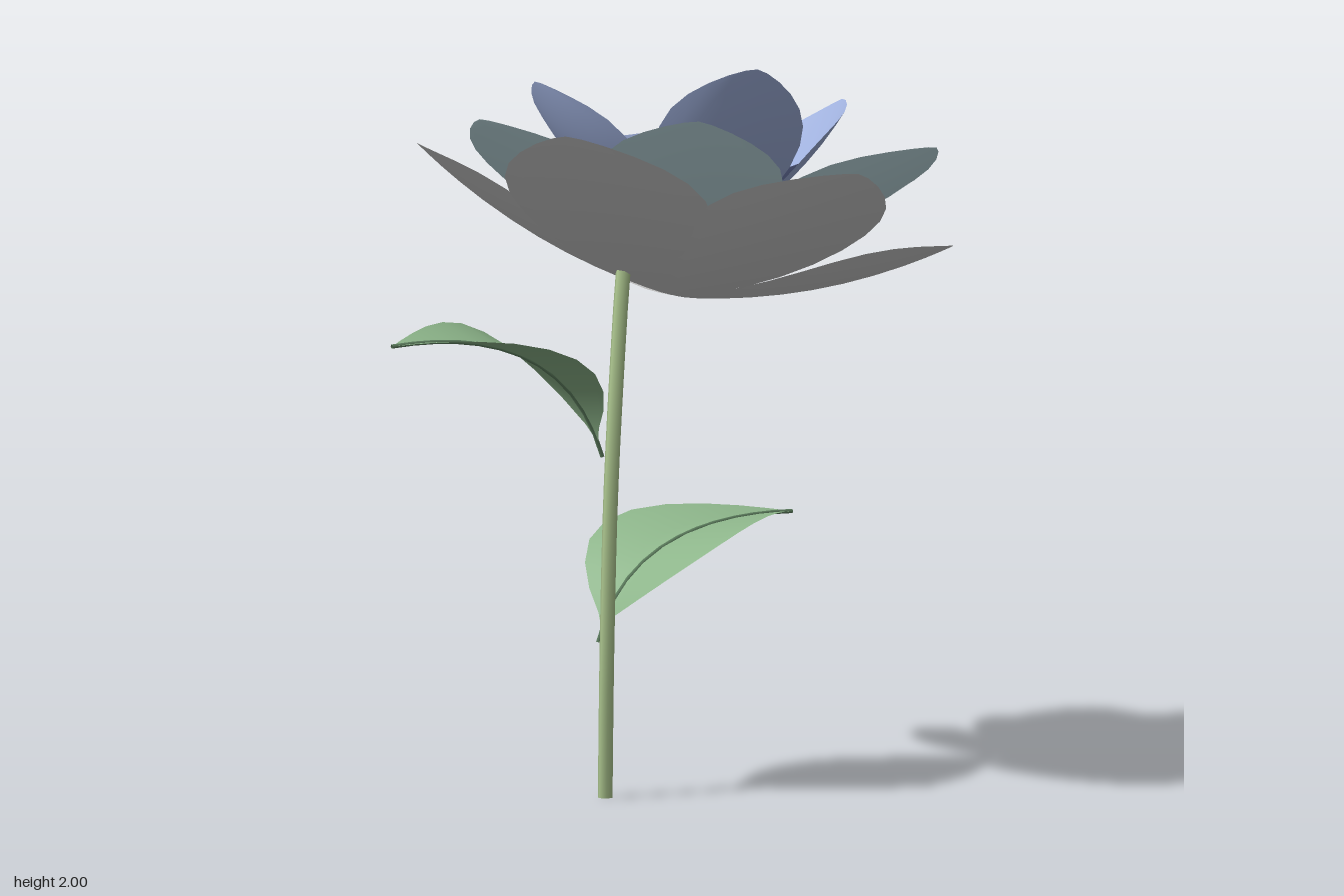
import * as THREE from 'three';

const V = (x, y, z) => new THREE.Vector3(x, y, z);
const AXIS = V(0, 0.95, -0.31).normalize();
const paint = (color, flatShading = false) =>
  new THREE.MeshStandardMaterial({ color, flatShading, side: THREE.DoubleSide });

// Blade on a unit grid: at(s, t) gives the point for s across (-1..1) and t along (0..1)
function blade(name, material, at) {
  const geo = new THREE.PlaneGeometry(2, 1, 10, 14);
  const pos = geo.attributes.position;
  for (let i = 0; i < pos.count; i++) {
    const t = (1 - Math.cos(Math.PI * (pos.getY(i) + 0.5))) / 2;
    const p = at(pos.getX(i), t);
    pos.setXYZ(i, p.x, p.y, p.z);
  }
  geo.computeVertexNormals();
  const mesh = new THREE.Mesh(geo, material);
  mesh.name = name;
  return mesh;
}

// Cupped petal from base to tip, widest past its middle
function petal(name, material, base, tip, width, cup, sag) {
  const along = tip.clone().sub(base);
  const side = along.clone().cross(AXIS).normalize();
  const up = side.clone().cross(along).normalize();
  return blade(name, material, (s, t) => {
    const half = (width / 2) * Math.pow(Math.max(0, Math.sin(Math.PI * Math.pow(t, 1.35))), 0.65);
    const k = half / (width / 2);
    return base.clone()
      .addScaledVector(along, t)
      .addScaledVector(side, s * half)
      .addScaledVector(up, cup * s * s * k * k - sag * 4 * t * (1 - t));
  });
}

// Ring of petals: each entry is [tip x, y, z, width]
function ring(name, color, base, cup, sag, entries) {
  const group = new THREE.Group();
  group.name = name + 's';
  const material = paint(color);
  for (const [x, y, z, w] of entries) {
    group.add(petal(name, material, base, V(x, y, z), w, cup, sag));
  }
  return group;
}

// Leaf with a bent midrib and wings lifted into a shallow V
function leaf(name, p0, p1, p2, halfWidth) {
  const group = new THREE.Group();
  group.name = name;
  const rib = new THREE.QuadraticBezierCurve3(p0, p1, p2);
  const dir = p2.clone().sub(p0);
  const side = V(-dir.z, 0, dir.x).normalize();
  group.add(blade(name + 'Blade', paint(0x8db58a), (s, t) => {
    const half = halfWidth * Math.sin(Math.PI * Math.pow(Math.max(0, (t - 0.08) / 0.92), 0.9));
    const p = rib.getPoint(t).addScaledVector(side, s * half);
    p.y += Math.abs(s) * half * 0.15;
    return p;
  }));
  const vein = new THREE.Mesh(new THREE.TubeGeometry(rib, 12, 0.006, 5), paint(0x5f8060));
  vein.name = name + 'Midrib';
  group.add(vein);
  return group;
}

export function createModel() {
  const model = new THREE.Group();
  model.name = 'flower';

  // Curved six-sided stem with closed ends
  const path = new THREE.CatmullRomCurve3([
    V(-0.085, 0, 0.35), V(-0.085, 0.4, 0.335), V(-0.09, 0.8, 0.29),
    V(-0.095, 1.1, 0.23), V(-0.1, 1.4, 0.155), V(-0.1, 1.5, 0.12),
  ]);
  const green = paint(0xa9c28c);
  const stem = new THREE.Mesh(new THREE.TubeGeometry(path, 16, 0.021, 6), green);
  stem.name = 'stem';
  model.add(stem);
  for (const t of [0, 1]) {
    const cap = new THREE.Mesh(new THREE.CircleGeometry(0.021, 6), green);
    cap.position.copy(path.getPoint(t));
    cap.lookAt(cap.position.clone().add(path.getTangent(t)));
    cap.name = 'stemEnd';
    model.add(cap);
  }

  // Two leaves
  model.add(leaf('upperLeaf', V(-0.14, 0.91, 0.21), V(-0.22, 1.3, 0.3), V(-0.58, 1.265, 0.69), 0.26));
  model.add(leaf('lowerLeaf', V(-0.115, 0.42, 0.32), V(-0.06, 0.75, 0.22), V(0.25, 0.71, -0.24), 0.25));

  // Three rings of petals, from the outside in
  model.add(ring('outerPetal', 0xcccccc, V(0, 1.33, 0.02), 0.05, 0.05, [
    [-0.08, 1.87, 0.7, 0.58], [0.66, 1.76, 0.41, 0.52], [0.65, 1.43, -0.42, 0.52],
    [-0.22, 1.42, -0.7, 0.5], [-0.73, 1.71, 0.03, 0.5],
  ]));
  model.add(ring('middlePetal', 0xbfdce2, V(0.01, 1.39, 0), 0.06, 0.05, [
    [0.17, 1.51, -0.7, 0.52], [0.72, 1.76, -0.07, 0.5], [0.26, 1.91, 0.58, 0.5],
    [-0.41, 1.86, 0.45, 0.5], [-0.57, 1.62, -0.33, 0.46],
  ]));
  model.add(ring('innerPetal', 0x9fb0dc, V(0.02, 1.45, -0.03), 0.06, 0.05, [
    [-0.24, 1.68, -0.49, 0.46], [0.32, 1.81, -0.46, 0.4],
    [0.31, 2.0, 0.23, 0.4], [-0.35, 1.92, 0.16, 0.4],
  ]));

  // Narrow petals around the faceted core
  model.add(ring('centrePetal', 0x7480b4, V(0.02, 1.51, -0.06), 0.035, 0.03, [
    [0.07, 1.64, -0.38, 0.12], [0.3, 1.68, -0.16, 0.11], [0.13, 1.82, 0.14, 0.12],
    [-0.22, 1.73, 0.04, 0.11], [-0.23, 1.59, -0.25, 0.11],
  ]));
  const core = new THREE.Mesh(new THREE.SphereGeometry(0.075, 6, 4), paint(0x8290c4, true));
  core.name = 'core';
  core.position.set(0.025, 1.54, -0.06);
  core.quaternion.setFromUnitVectors(V(0, 1, 0), AXIS);
  model.add(core);

  return model;
}
